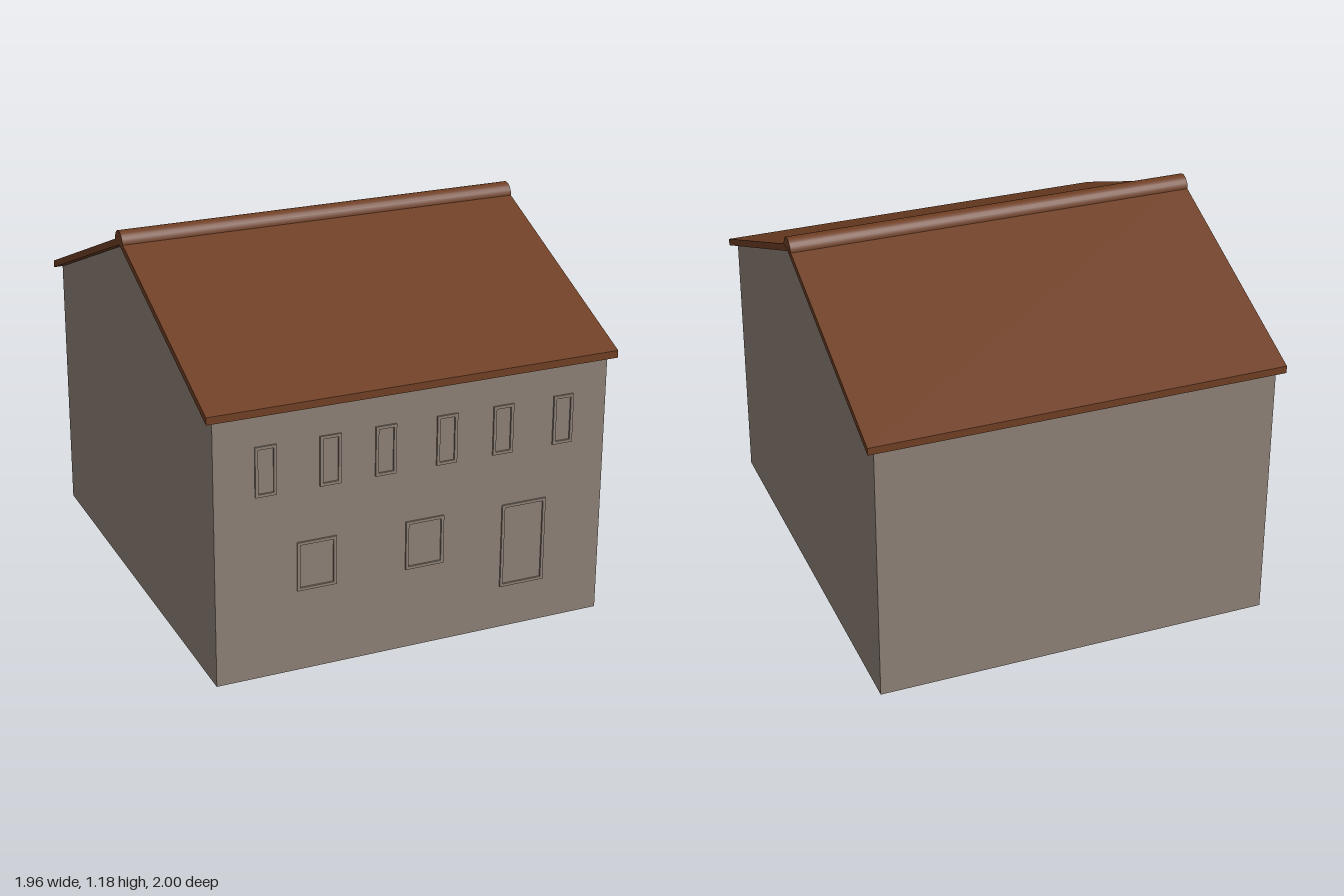
import * as THREE from 'three';

export function createModel() {
  const house = new THREE.Group();
  house.name = 'house';
  const wallMat = new THREE.MeshStandardMaterial({ color: 0x8a7d73, side: THREE.DoubleSide });
  wallMat.name = 'stone wall';
  const roofMat = new THREE.MeshStandardMaterial({ color: 0x6d3d22 });
  roofMat.name = 'brown roof';

  // The plan is turned on its corner and very slightly out of square:
  // local x runs along the ridge, local z across it.
  const plan = new THREE.Matrix4().makeBasis(
    new THREE.Vector3(0.718, 0, -0.695),
    new THREE.Vector3(0, 1, 0),
    new THREE.Vector3(0.685, 0, 0.729)
  );

  function add(name, geometry, material) {
    const mesh = new THREE.Mesh(geometry.applyMatrix4(plan), material);
    mesh.name = name;
    house.add(mesh);
  }

  const polygon = (points) => new THREE.Shape(points.map(([a, b]) => new THREE.Vector2(a, b)));

  const wallX = 0.631, wallZ = 0.7235, wallTop = 0.841;

  // Thin wall shell, open underneath: two gables and two long walls
  const gable = polygon([[-wallZ, 0], [wallZ, 0], [wallZ, wallTop], [0, 1.133], [-wallZ, wallTop]]);
  for (const s of [1, -1]) {
    add(s > 0 ? 'leftGable' : 'rightGable',
      new THREE.ShapeGeometry(gable).rotateY(s * Math.PI / 2).translate(s * wallX, 0, 0), wallMat);
    add(s > 0 ? 'entranceWall' : 'backWall',
      new THREE.PlaneGeometry(2 * wallX, wallTop).rotateY(s > 0 ? 0 : Math.PI)
        .translate(0, wallTop / 2, s * wallZ), wallMat);
  }

  // Pitched roof slab
  const roofLength = 1.31;
  const roofSection = polygon([[-0.7445, 0.834], [0, 1.134], [0.7445, 0.834],
    [0.7445, 0.857], [0, 1.157], [-0.7445, 0.857]]);
  add('roof', new THREE.ExtrudeGeometry(roofSection, { depth: roofLength, bevelEnabled: false })
    .translate(0, 0, -roofLength / 2).rotateY(Math.PI / 2), roofMat);

  // Half-round ridge cap
  add('ridgeCap', new THREE.CylinderGeometry(0.036, 0.036, roofLength + 0.002, 12, 1, false, 0, Math.PI)
    .rotateZ(Math.PI / 2).translate(0, 1.142, 0), roofMat);

  // Slim raised frames around the openings of the entrance wall
  function frame(name, x, width, bottom, top) {
    const rectangle = (inset) => {
      const w = width / 2 - inset, b = bottom + inset, t = top - inset;
      return polygon([[x - w, b], [x + w, b], [x + w, t], [x - w, t]]);
    };
    const shape = rectangle(0);
    shape.holes.push(rectangle(0.009));
    add(name, new THREE.ExtrudeGeometry(shape, { depth: 0.006, bevelEnabled: false })
      .translate(0, 0, wallZ), wallMat);
  }
  [-0.472, -0.272, -0.097, 0.1, 0.285, 0.486].forEach((x, i) =>
    frame(`upperWindow${i + 1}`, x, 0.066, 0.58, 0.735));
  [-0.315, 0.033].forEach((x, i) =>
    frame(`lowerWindow${i + 1}`, x, 0.124, 0.26, 0.415));
  frame('door', 0.364, 0.147, 0.138, 0.41);

  return house;
}
